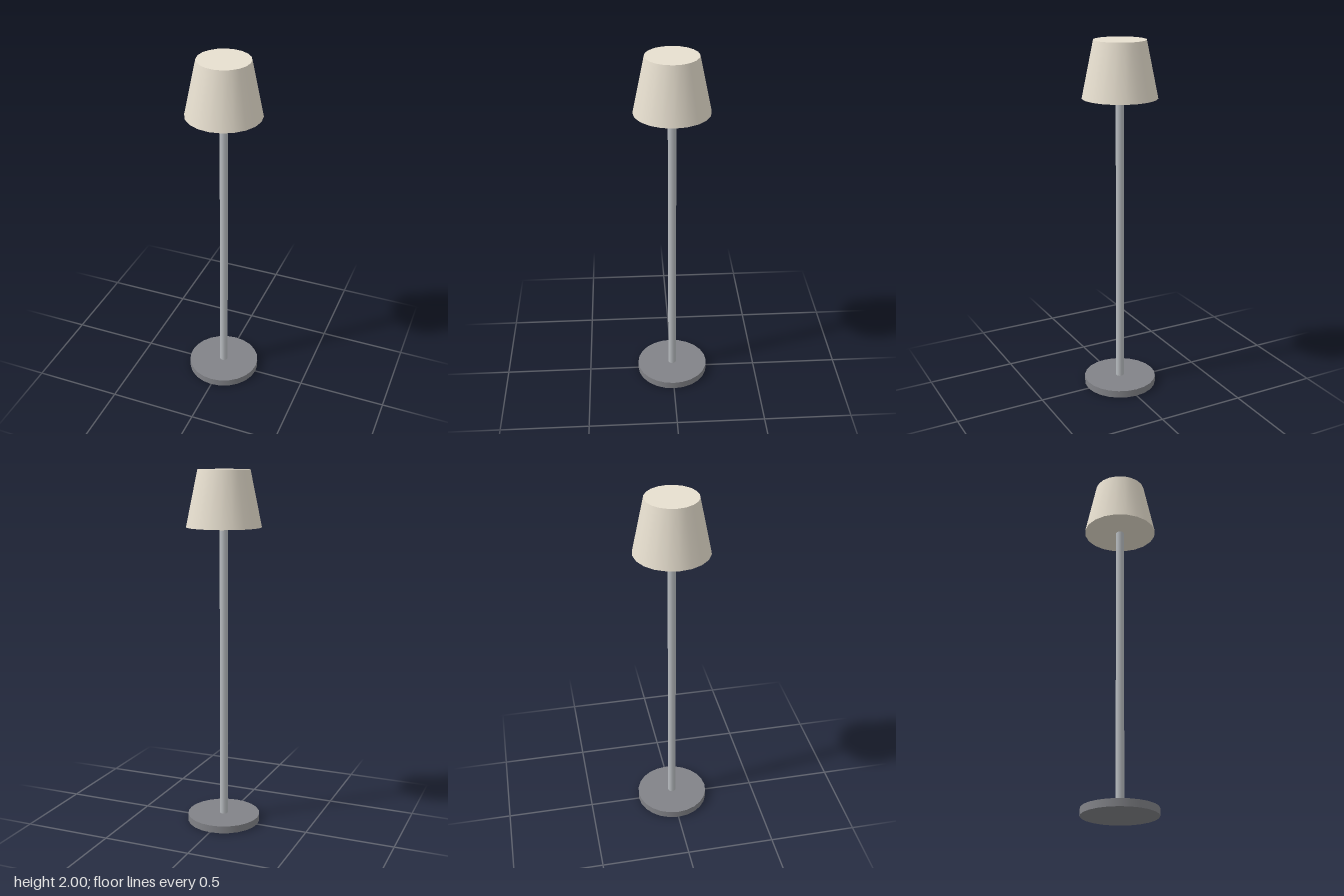
import * as THREE from 'three';

const material = (name, color) => {
  const m = new THREE.MeshStandardMaterial({ color });
  m.name = name;
  return m;
};

export function createModel() {
  const lamp = new THREE.Group();
  lamp.name = 'floorLamp';

  const darkMetal = material('dark grey metal', 0x828388);
  const paleMetal = material('pale grey metal', 0xb8bcc0);
  const cream = material('cream fabric', 0xe8e0d0);

  // Upright cylinder or cone section between two heights
  const addRound = (name, topRadius, bottomRadius, y0, y1, sides, mat) => {
    const geometry = new THREE.CylinderGeometry(topRadius, bottomRadius, y1 - y0, sides);
    const mesh = new THREE.Mesh(geometry, mat);
    mesh.name = name;
    mesh.position.y = (y0 + y1) / 2;
    lamp.add(mesh);
  };

  // Flat disc foot
  addRound('base', 0.207, 0.207, 0, 0.041, 24, darkMetal);
  // Slim upright
  addRound('pole', 0.023, 0.023, 0.041, 1.72, 12, paleMetal);
  // Closed tapered shade
  addRound('shade', 0.143, 0.207, 1.692, 2, 20, cream);

  return lamp;
}
